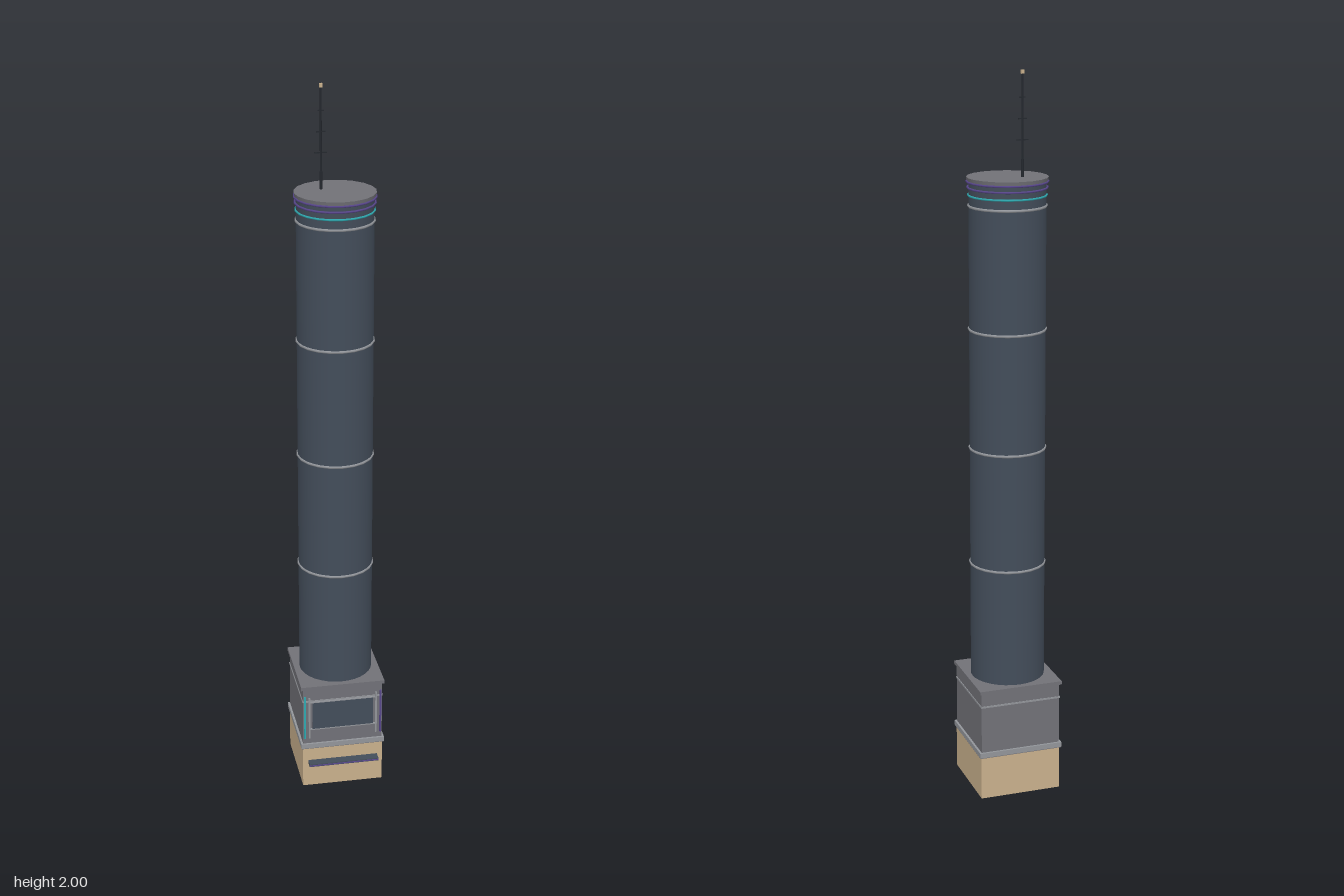
import * as THREE from 'three';

const mat = (name, color, side = THREE.FrontSide) => {
  const m = new THREE.MeshStandardMaterial({ color, side });
  m.name = name;
  return m;
};

export function createModel() {
  const slate = mat('slate', 0x434d5a);
  const gray = mat('gray', 0x717177);
  const trim = mat('light gray', 0x92959a);
  const tan = mat('tan', 0xc9b08c, THREE.DoubleSide);
  const dark = mat('near black', 0x24282e);
  const purple = mat('purple', 0x57468a);
  const teal = mat('teal', 0x2fa9b0);

  const model = new THREE.Group();
  const tower = new THREE.Group();
  tower.name = 'tower';
  tower.position.z = -0.0125;
  model.add(tower);

  const add = (name, geo, material, x, y, z) => {
    const m = new THREE.Mesh(geo, material);
    m.name = name;
    m.position.set(x, y, z);
    tower.add(m);
    return m;
  };
  const box = (name, material, w, h, d, x, y, z) =>
    add(name, new THREE.BoxGeometry(w, h, d), material, x, y, z);
  const ring = (name, material, r, tube, y) =>
    add(name, new THREE.TorusGeometry(r, tube, 6, 20), material, 0, y, 0).rotateX(Math.PI / 2);

  // Hollow plinth, open at the bottom
  for (const s of [-1, 1]) {
    box('plinthSide', tan, 0.004, 0.125, 0.23, s * 0.113, 0.0625, 0);
    box('plinthFace', tan, 0.222, 0.125, 0.004, 0, 0.0625, s * 0.113);
  }
  box('plinthDeck', gray, 0.238, 0.004, 0.238, 0, 0.125, 0);
  box('plinthTrim', trim, 0.24, 0.014, 0.24, 0, 0.132, 0);

  // Ledge across the front of the plinth
  box('ledge', slate, 0.2, 0.008, 0.026, 0, 0.079, 0.1275);
  box('ledgeEdge', purple, 0.2, 0.003, 0.002, 0, 0.079, 0.1415);

  // Booth with cornice
  box('booth', gray, 0.228, 0.176, 0.228, 0, 0.227, 0);
  box('boothBand', trim, 0.231, 0.005, 0.231, 0, 0.275, 0);
  box('boothRoof', gray, 0.239, 0.01, 0.239, 0, 0.319, 0);

  // Front window, its frame and the coloured corner strips
  box('window', slate, 0.174, 0.084, 0.006, 0, 0.229, 0.1155);
  for (const s of [-1, 1]) {
    box('windowPost', trim, 0.005, 0.13, 0.006, s * 0.096, 0.222, 0.1155);
    box('windowRail', trim, 0.187, 0.003, 0.007, 0, 0.229 + s * 0.0435, 0.1155);
    box('cornerStrip', s < 0 ? teal : purple, 0.005, 0.135, 0.005, s * 0.109, 0.224, 0.1155);
  }

  // Tall round shaft and its joint rings
  add('shaft', new THREE.CylinderGeometry(0.103, 0.103, 1.392, 32), slate, 0, 1.018, 0);
  for (const y of [0.655, 0.985, 1.315, 1.647]) ring('jointRing', trim, 0.103, 0.004, y);

  // Crown
  ring('tealRing', teal, 0.104, 0.003, 1.675);
  ring('purpleRing', purple, 0.106, 0.003, 1.695);
  ring('capRing', purple, 0.108, 0.003, 1.711);
  add('cap', new THREE.CylinderGeometry(0.109, 0.107, 0.012, 20), gray, 0, 1.717, 0);

  // Antenna with crossbars and a tip
  const ax = -0.033, az = -0.0245;
  add('antennaFoot', new THREE.CylinderGeometry(0.004, 0.004, 0.05, 8), dark, ax, 1.745, az);
  add('antennaMast', new THREE.CylinderGeometry(0.0025, 0.003, 0.27, 8), dark, ax, 1.857, az);
  [[1.82, 0.032], [1.875, 0.024], [1.93, 0.016]].forEach(([y, w]) =>
    box('crossbar', dark, w, 0.003, 0.003, ax, y, az));
  box('antennaTip', tan, 0.008, 0.01, 0.008, ax, 1.995, az);

  return model;
}
